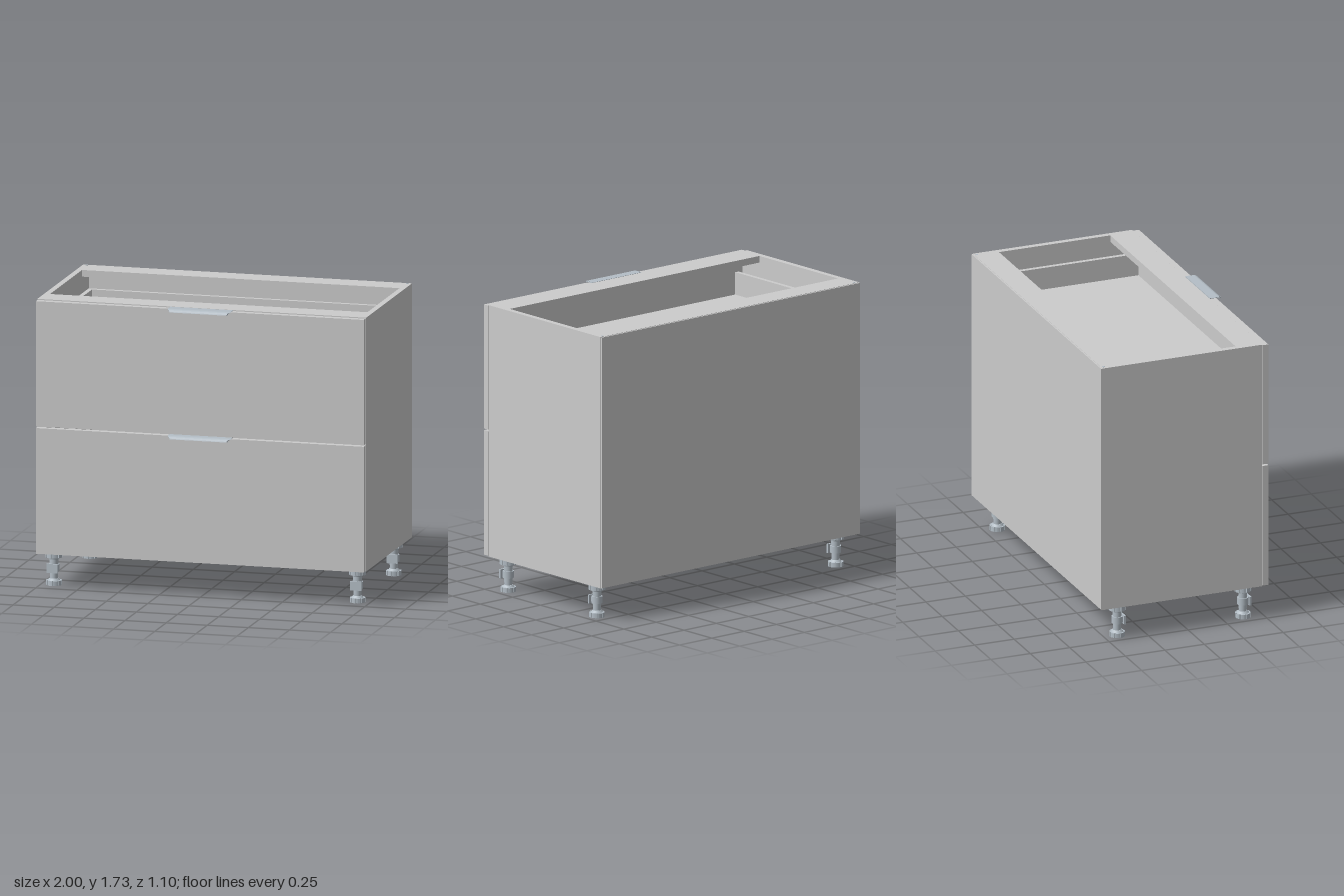
import * as THREE from 'three';

const grey = new THREE.MeshStandardMaterial({ color: 0xcccccc });
const metal = new THREE.MeshStandardMaterial({ color: 0xb4bec6 });

// Box given by its extents on each axis
function box(name, [x0, x1], [y0, y1], [z0, z1], material = grey) {
  const mesh = new THREE.Mesh(new THREE.BoxGeometry(x1 - x0, y1 - y0, z1 - z0), material);
  mesh.name = name;
  mesh.position.set((x0 + x1) / 2, (y0 + y1) / 2, (z0 + z1) / 2);
  return mesh;
}

function cylinder(name, rTop, rBottom, y0, y1, sides = 24) {
  const mesh = new THREE.Mesh(new THREE.CylinderGeometry(rTop, rBottom, y1 - y0, sides), metal);
  mesh.name = name;
  mesh.position.y = (y0 + y1) / 2;
  return mesh;
}

// Disc with notches cut around its rim
function notchedDisc(name, r, inner, notches, y0, y1) {
  const shape = new THREE.Shape();
  const step = (Math.PI * 2) / notches;
  for (let i = 0; i < notches; i++) {
    [[0, inner], [0.15, inner], [0.15, r], [0.43, r], [0.72, r], [1, r]].forEach(([t, radius], k) => {
      const a = (i + t) * step;
      const x = Math.cos(a) * radius, y = Math.sin(a) * radius;
      if (i + k === 0) shape.moveTo(x, y);
      else shape.lineTo(x, y);
    });
  }
  shape.closePath();
  const geometry = new THREE.ExtrudeGeometry(shape, { depth: y1 - y0, bevelEnabled: false });
  geometry.rotateX(-Math.PI / 2);
  const mesh = new THREE.Mesh(geometry, metal);
  mesh.name = name;
  mesh.position.y = y0;
  return mesh;
}

// Adjustable foot with a plinth clip facing the front
function leg(x, z) {
  const g = new THREE.Group();
  g.name = 'leg';
  g.add(
    notchedDisc('footPad', 0.046, 0.038, 8, 0, 0.028),
    cylinder('footCollar', 0.026, 0.036, 0.028, 0.04),
    cylinder('legShaft', 0.027, 0.023, 0.03, 0.17),
    cylinder('capCollar', 0.034, 0.03, 0.155, 0.167),
    notchedDisc('mountingCap', 0.05, 0.04, 8, 0.165, 0.206),
    cylinder('clipRing', 0.033, 0.033, 0.082, 0.124),
    box('plinthClip', [-0.034, 0.034], [0.076, 0.13], [0.03, 0.042], metal),
    box('clipNeck', [-0.018, 0.018], [0.088, 0.118], [0.0, 0.035], metal),
  );
  g.position.set(x, 0, z);
  return g;
}

// Edge pull: flat tab that curls down at the front, with narrowed corners
function handle(y) {
  const s = new THREE.Shape();
  const t = 0.005;
  s.moveTo(0.472, 0);
  s.lineTo(0.525, 0);
  s.quadraticCurveTo(0.545, -0.001, 0.551, -0.018);
  s.lineTo(0.551 - t, -0.018);
  s.quadraticCurveTo(0.541, -t, 0.525, -t);
  s.lineTo(0.472, -t);
  s.closePath();
  const geometry = new THREE.ExtrudeGeometry(s, { depth: 0.38, bevelEnabled: false, curveSegments: 8 });
  geometry.translate(0, 0, -0.19);
  geometry.rotateY(-Math.PI / 2);
  const p = geometry.attributes.position;
  for (let i = 0; i < p.count; i++) {
    // The extrusion runs along x, with its profile depth on z
    const inset = 0.018 * Math.max(0, (p.getZ(i) - 0.525) / 0.026) ** 1.5;
    p.setX(i, p.getX(i) - Math.sign(p.getX(i)) * inset);
  }
  geometry.computeVertexNormals();
  const mesh = new THREE.Mesh(geometry, metal);
  mesh.name = 'handle';
  mesh.position.y = y;
  return mesh;
}

// Front panel with a shallow tray and runners behind it
function drawer(y0, y1) {
  const g = new THREE.Group();
  g.name = 'drawer';
  const rim = y1 - 0.115, base = rim - 0.155, floor = rim - 0.135;
  g.add(
    box('drawerFront', [-0.997, 0.997], [y0, y1], [0.472, 0.51]),
    box('trayFloor', [-0.915, 0.915], [base, floor], [-0.42, 0.472]),
    box('trayBack', [-0.94, 0.94], [base, rim], [-0.447, -0.42]),
    handle(y1 + 0.005),
  );
  for (const s of [-1, 1]) {
    const side = box('traySide', [0.913, 0.94], [base, rim], [-0.42, 0.472]);
    const runner = box('runner', [0.94, 0.965], [base + 0.01, base + 0.05], [-0.42, 0.45]);
    side.position.x *= s;
    runner.position.x *= s;
    g.add(side, runner);
  }
  return g;
}

export function createModel() {
  const model = new THREE.Group();
  model.name = 'drawerCabinet';

  // Carcass
  const inner = [-0.965, 0.965];
  model.add(
    box('leftSide', [0.965, 1], [0.205, 1.725], [-0.541, 0.467]),
    box('rightSide', [-1, -0.965], [0.205, 1.725], [-0.541, 0.467]),
    box('bottomPanel', inner, [0.205, 0.245], [-0.525, 0.467]),
    box('backPanel', [-0.998, 0.998], [0.207, 1.723], [-0.55, -0.541]),
    box('backStretcher', inner, [1.685, 1.725], [-0.541, -0.39]),
    box('frontStretcher', inner, [1.685, 1.725], [0.315, 0.467]),
  );

  // Corner fixings on the top
  for (const s of [-1, 1]) {
    const pin = cylinder('cornerFixing', 0.008, 0.008, 1.715, 1.727, 12);
    pin.position.x = s * 0.975;
    pin.position.z = -0.526;
    model.add(pin);
  }

  model.add(drawer(0.207, 0.96), drawer(0.97, 1.72));

  for (const x of [-0.923, 0.923]) for (const z of [0.378, -0.418]) model.add(leg(x, z));
  return model;
}
